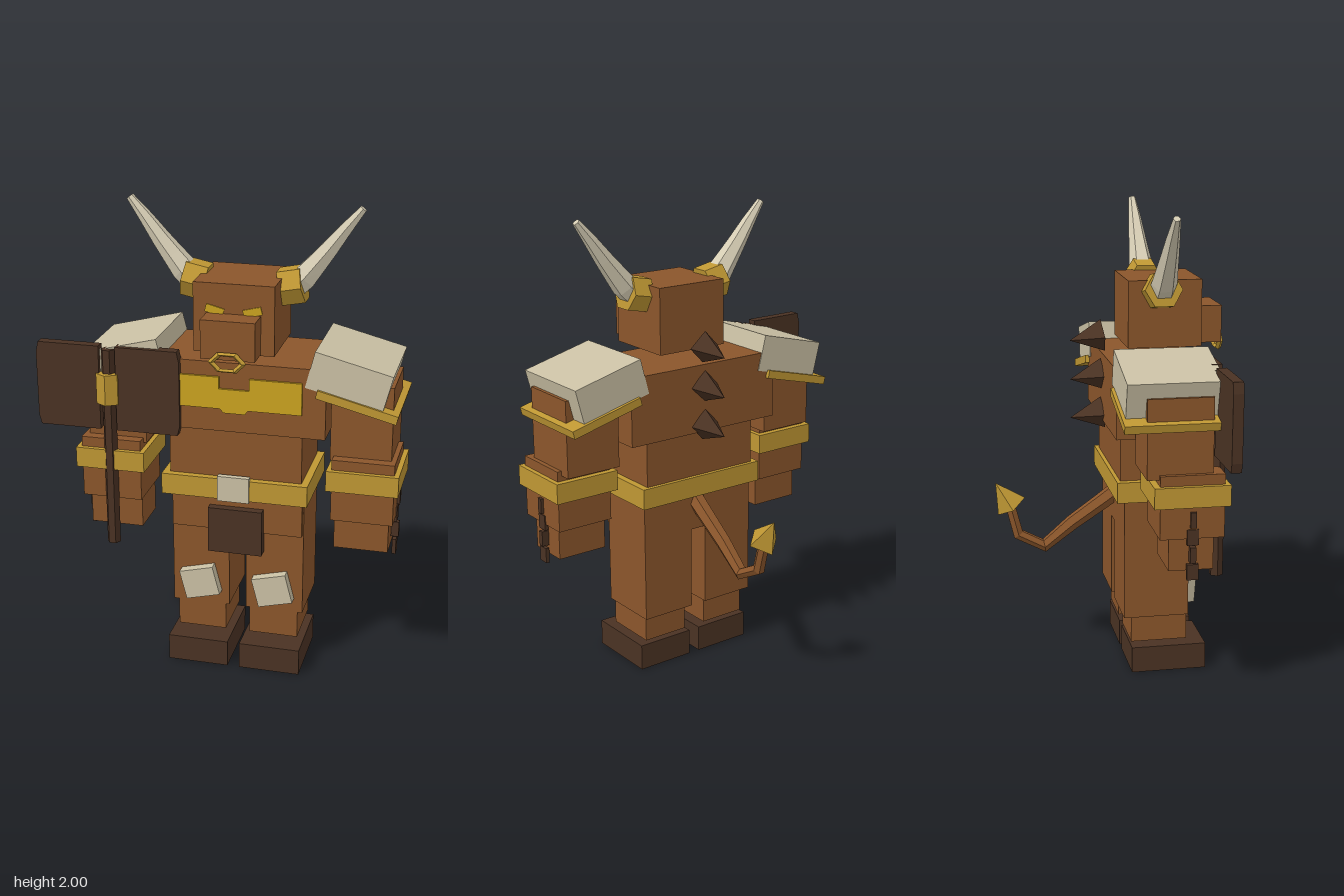
import * as THREE from 'three';

const mat = (name, color) => {
  const m = new THREE.MeshStandardMaterial({ color });
  m.name = name;
  return m;
};

// Gives every facet its own hard-edged normal
function facet(geo) {
  const g = geo.index ? geo.toNonIndexed() : geo;
  g.computeVertexNormals();
  return g;
}

// Faceted tapered tube along a planar path; ring corners lie on +-axis
function taperedTube(points, radii, axis, sides = 6) {
  const rings = points.map((p, i) => {
    const t = points[Math.min(i + 1, points.length - 1)].clone()
      .sub(points[Math.max(i - 1, 0)]).normalize();
    const n = t.clone().cross(axis);
    return Array.from({ length: sides }, (_, j) => {
      const a = (j / sides) * Math.PI * 2;
      return p.clone().addScaledVector(axis, Math.cos(a) * radii[i]).addScaledVector(n, Math.sin(a) * radii[i]);
    });
  });
  const tris = [];
  const last = rings.length - 1;
  for (let j = 0; j < sides; j++) {
    const k = (j + 1) % sides;
    for (let i = 0; i < last; i++) {
      const a = rings[i][j], b = rings[i][k], c = rings[i + 1][k], d = rings[i + 1][j];
      tris.push(a, b, c, a, c, d);
    }
    tris.push(points[0], rings[0][k], rings[0][j]);
    tris.push(points[last], rings[last][j], rings[last][k]);
  }
  const g = new THREE.BufferGeometry().setFromPoints(tris);
  g.computeVertexNormals();
  return g;
}

export function createModel() {
  const hide = mat('brown hide', 0x8b562b);
  const dark = mat('dark leather', 0x4a3223);
  const brass = mat('brass', 0xbf9733);
  const gold = mat('bright gold', 0xcba31f);
  const bone = mat('bone plate', 0xcac0a4);
  const horn = mat('horn ivory', 0xd6cdb4);

  const model = new THREE.Group();
  model.name = 'hornedWarrior';
  // The body's middle sits a little to its left because of the axe
  const body = new THREE.Group();
  body.name = 'body';
  body.position.x = 0.077;
  model.add(body);

  const add = (name, geo, material, x = 0, y = 0, z = 0) => {
    const m = new THREE.Mesh(geo, material);
    m.name = name;
    m.position.set(x, y, z);
    body.add(m);
    return m;
  };
  // Box from its limits on each axis
  const box = (name, material, x0, x1, y0, y1, z0, z1) =>
    add(name, new THREE.BoxGeometry(x1 - x0, y1 - y0, z1 - z0), material,
      (x0 + x1) / 2, (y0 + y1) / 2, (z0 + z1) / 2);
  // Box on one side: s = 1 left, -1 right
  const sideBox = (s, name, material, x0, x1, ...rest) =>
    s > 0 ? box(name, material, x0, x1, ...rest) : box(name, material, -x1, -x0, ...rest);

  // Torso
  box('chest', hide, -0.373, 0.373, 1.08, 1.375, -0.022, 0.365);
  box('belly', hide, -0.278, 0.278, 0.86, 1.08, 0.012, 0.355);
  box('pelvis', hide, -0.278, 0.278, 0.62, 0.8, 0.03, 0.33);
  box('belt', brass, -0.308, 0.308, 0.785, 0.875, -0.005, 0.385);
  box('buckle', bone, -0.067, 0.067, 0.78, 0.89, 0.37, 0.395);
  box('loincloth', dark, -0.115, 0.115, 0.53, 0.73, 0.31, 0.365);

  // Chest plate with a notch at the neck and a tab below
  const plate = new THREE.Shape([
    [-0.278, 1.18], [-0.058, 1.18], [-0.045, 1.163], [0.045, 1.163], [0.058, 1.18], [0.278, 1.18],
    [0.278, 1.315], [0.063, 1.315], [0.063, 1.265], [-0.063, 1.265], [-0.063, 1.315], [-0.278, 1.315],
  ].map(([x, y]) => new THREE.Vector2(x, y)));
  add('chestPlate', new THREE.ExtrudeGeometry(plate, { depth: 0.012, bevelEnabled: false }), gold, 0, 0, 0.364);

  // Head
  box('head', hide, -0.165, 0.165, 1.42, 1.705, 0.065, 0.38);
  box('snout', hide, -0.11, 0.11, 1.425, 1.583, 0.375, 0.48);
  const ring = add('noseRing', facet(new THREE.TorusGeometry(0.064, 0.014, 4, 6)), brass, 0, 1.418, 0.487);
  ring.scale.set(1, 0.6, 0.9);

  // Spikes down the back
  for (const y of [1.45, 1.28, 1.11]) {
    const spike = add('backSpike', facet(new THREE.ConeGeometry(0.07, 0.145, 4)), dark, 0, y - 0.01, -0.088);
    spike.rotation.x = -Math.PI / 2 - 0.14;
  }

  // Tail with a pointed tip
  const tailPath = [[0.76, 0.06], [0.71, -0.01], [0.61, -0.155], [0.51, -0.28], [0.57, -0.395], [0.71, -0.43]]
    .map(([y, z]) => new THREE.Vector3(0, y, z));
  add('tail', taperedTube(tailPath, [0.04, 0.038, 0.034, 0.03, 0.027, 0.024], new THREE.Vector3(1, 0, 0)), hide);
  const tip = add('tailTip', facet(new THREE.ConeGeometry(0.07, 0.13, 4)), brass, 0, 0.755, -0.457);
  tip.rotation.x = -0.56;

  for (const s of [1, -1]) {
    // Eye
    const eye = add('eye', new THREE.BoxGeometry(0.075, 0.032, 0.008), gold, s * 0.077, 1.596, 0.381);
    eye.rotation.z = s * 0.25;

    // Horn and its socket
    const socket = add('hornSocket', facet(new THREE.CylinderGeometry(0.08, 0.08, 0.095, 6)), brass, s * 0.199, 1.667, 0.2);
    socket.rotation.z = -s * (Math.PI / 2 - 0.2);
    const path = [[0.2, 1.665], [0.25, 1.706], [0.295, 1.762], [0.345, 1.825], [0.405, 1.905], [0.473, 1.99]]
      .map(([x, y]) => new THREE.Vector3(s * x, y, 0.2));
    add('horn', taperedTube(path, [0.06, 0.055, 0.047, 0.039, 0.029, 0.016], new THREE.Vector3(0, 0, 1)), horn);

    // Shoulder guard
    const guard = add('shoulderGuard', new THREE.BoxGeometry(0.322, 0.157, 0.395), bone, s * 0.463, 1.335, 0.172);
    const trim = add('shoulderTrim', new THREE.BoxGeometry(0.335, 0.035, 0.42), brass, s * 0.498, 1.236, 0.17);
    guard.rotation.z = trim.rotation.z = -s * 0.25;

    // Arm
    sideBox(s, 'upperArm', hide, 0.388, 0.638, 0.98, 1.31, 0.055, 0.325);
    sideBox(s, 'forearm', hide, 0.403, 0.658, 0.735, 1.0, 0.105, 0.37);
    sideBox(s, 'armBand', brass, 0.383, 0.678, 0.87, 0.957, 0.078, 0.39);
    sideBox(s, 'hand', hide, 0.413, 0.638, 0.595, 0.74, 0.145, 0.33);

    // Hanging chain of alternating links
    for (let i = 0; i < 4; i++) {
      const wx = i % 2 ? 0.008 : 0.016, wz = i % 2 ? 0.024 : 0.012;
      const y = 0.815 - i * 0.074;
      sideBox(s, 'chainLink', dark, 0.655 - wx, 0.655 + wx, y - 0.033, y + 0.033, 0.24 - wz, 0.24 + wz);
    }

    // Leg
    sideBox(s, 'thigh', hide, 0.037, 0.283, 0.255, 0.785, 0.03, 0.312);
    sideBox(s, 'shin', hide, 0.053, 0.262, 0.135, 0.26, 0.065, 0.31);
    sideBox(s, 'hoof', dark, 0.026, 0.287, 0, 0.115, 0.065, 0.392);
    const knee = add('kneePlate', new THREE.BoxGeometry(0.15, 0.13, 0.05), bone, s * 0.158, 0.365, 0.33);
    knee.rotation.z = 0.25;
  }

  // Double-bladed axe in the right hand
  const ax = -0.53;
  add('axeHandle', facet(new THREE.CylinderGeometry(0.029, 0.029, 0.865, 6).rotateY(Math.PI / 6)), dark, ax, 0.963, 0.37);
  add('axeHub', facet(new THREE.CylinderGeometry(0.053, 0.053, 0.13, 6)), brass, ax, 1.23, 0.37);
  for (const s of [1, -1]) {
    const blade = new THREE.Shape([
      [0.035, 1.05], [0.295, 1.05], [0.305, 1.09], [0.305, 1.365], [0.295, 1.41], [0.035, 1.41],
    ].map(([x, y]) => new THREE.Vector2(s * x, y)));
    add('axeBlade', new THREE.ExtrudeGeometry(blade, { depth: 0.043, bevelEnabled: false }), dark, ax, 0, 0.346);
  }

  return model;
}
